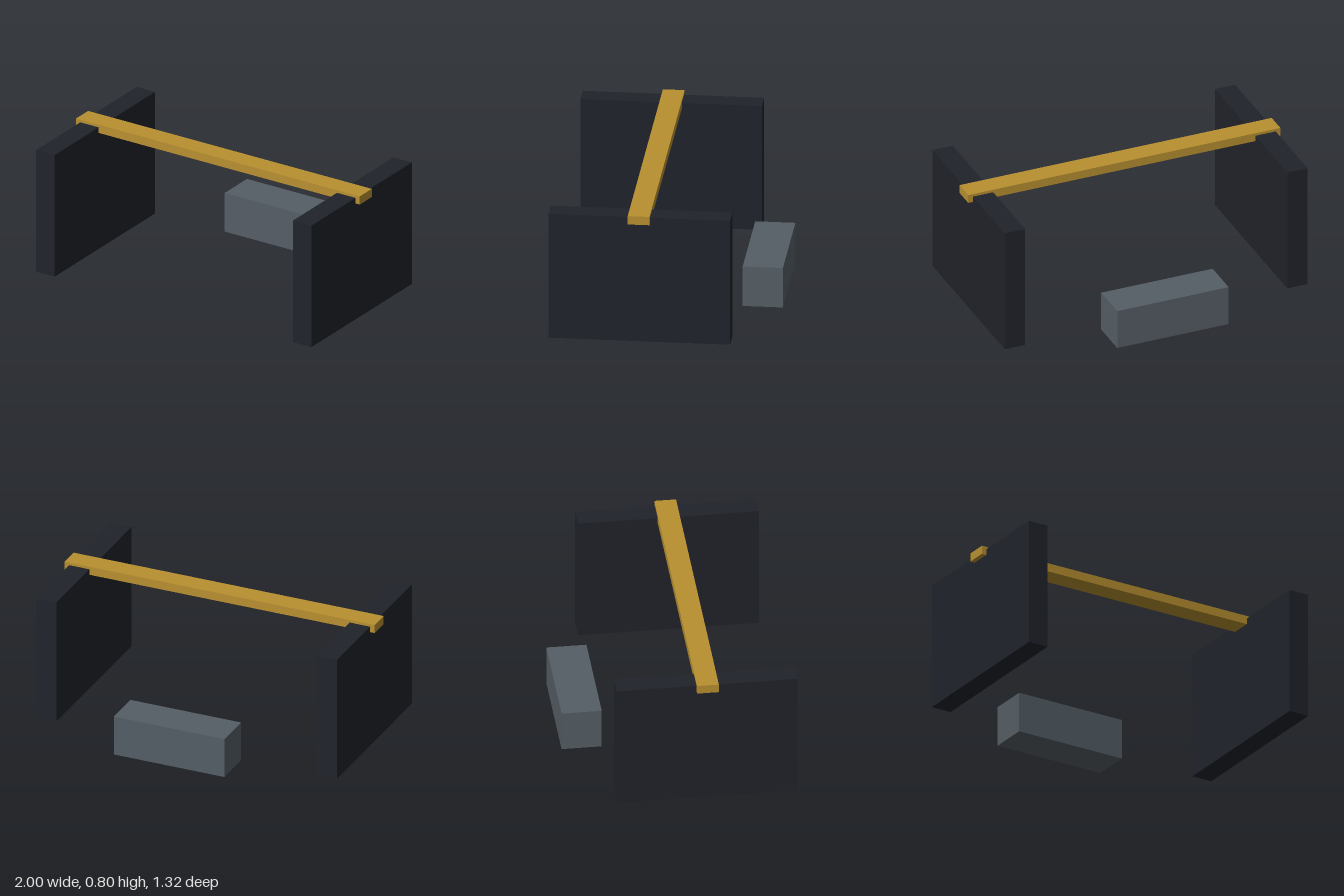
import * as THREE from 'three';

// Box given by its min and max corners
function block(name, color, [x0, y0, z0], [x1, y1, z1]) {
  const mesh = new THREE.Mesh(
    new THREE.BoxGeometry(x1 - x0, y1 - y0, z1 - z0),
    new THREE.MeshStandardMaterial({ color })
  );
  mesh.position.set((x0 + x1) / 2, (y0 + y1) / 2, (z0 + z1) / 2);
  mesh.name = name;
  return mesh;
}

export function createModel() {
  const group = new THREE.Group();
  group.name = 'gateway';

  // Upright side panels, mirrored left and right
  for (const side of [1, -1]) {
    const panel = block(side > 0 ? 'leftPanel' : 'rightPanel', 0x20232b, [0.84, 0, -0.412], [0.97, 0.786, 0.661]);
    panel.position.x *= side;
    group.add(panel);
  }

  // Crossbeam let into the panel tops, with overhanging ends
  group.add(block('crossbeam', 0xb89030, [-1, 0.75, 0.061], [1, 0.803, 0.19]));

  // Low block on the ground behind
  group.add(block('rearBlock', 0x555e66, [-0.357, 0, -0.661], [0.357, 0.25, -0.423]));

  return group;
}
